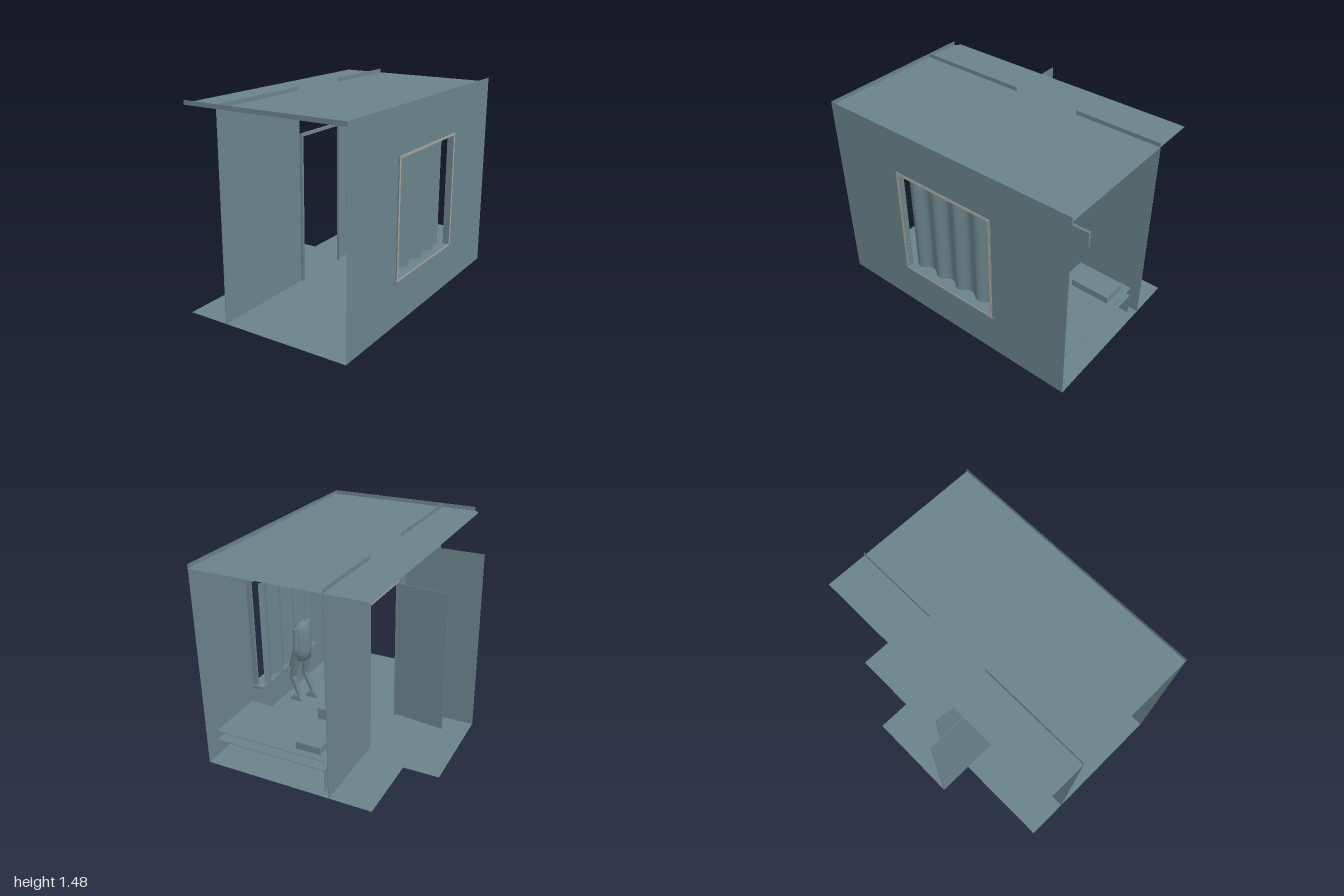
import * as THREE from 'three';

export function createModel() {
  const model = new THREE.Group();
  const material = (name, color) => {
    const m = new THREE.MeshStandardMaterial({ color, side: THREE.DoubleSide });
    m.name = name;
    return m;
  };
  const slate = material('slate', 0x6b828a);
  const beige = material('beige', 0xa8a298);
  const skin = material('skin', 0xb59a7c);

  const add = (name, geometry, mat = slate, parent = model) => {
    const mesh = new THREE.Mesh(geometry, mat);
    mesh.name = name;
    parent.add(mesh);
    return mesh;
  };
  // box given by its limits on each axis
  const box = (name, [x0, x1], [y0, y1], [z0, z1], mat, parent) => {
    const g = new THREE.BoxGeometry(x1 - x0, y1 - y0, z1 - z0);
    g.translate((x0 + x1) / 2, (y0 + y1) / 2, (z0 + z1) / 2);
    return add(name, g, mat, parent);
  };
  const polygon = (points) => new THREE.Shape(points.map(([x, y]) => new THREE.Vector2(x, y)));
  // flat horizontal sheet from x, z corners
  const sheet = (name, points, y) => {
    const g = new THREE.ShapeGeometry(polygon(points.map(([x, z]) => [x, -z])));
    g.rotateX(-Math.PI / 2);
    g.translate(0, y, 0);
    return add(name, g);
  };

  // floor with the hallway landing, and the ceiling with a clipped corner
  sheet('floor', [[-0.505, 1], [0.755, 1], [0.755, -1], [-0.505, -1],
    [-0.505, -0.48], [-0.77, -0.48], [-0.77, 0.26], [-0.505, 0.26]], 0);
  sheet('ceiling', [[-0.465, 1], [0.755, 1], [0.755, -1], [-0.505, -1], [-0.505, 0.96]], 1.45);
  box('frontFascia', [-0.465, 0.755], [1.45, 1.48], [0.997, 1]);

  // window wall
  const wall = polygon([[-1, 0], [1, 0], [1, 1.48], [-1, 1.48]]);
  wall.holes.push(polygon([[-0.4, 0.32], [-0.4, 1.155], [0.4, 1.155], [0.4, 0.32]]));
  const wallGeometry = new THREE.ShapeGeometry(wall);
  wallGeometry.rotateY(Math.PI / 2);
  wallGeometry.translate(0.755, 0, 0);
  add('windowWall', wallGeometry);

  // door wall in two halves, and the hallway wall
  box('doorWallFront', [-0.194, -0.19], [0, 1.48], [0.15, 1]);
  box('doorWallBack', [-0.194, -0.19], [0, 1.48], [-1, -0.36]);
  box('hallwayWall', [-0.77, -0.19], [0, 1.37], [0.257, 0.261]);

  // door frame and open door
  const doorway = new THREE.Group();
  doorway.name = 'doorway';
  model.add(doorway);
  box('doorJambFront', [-0.19, -0.17], [0, 1.138], [0.13, 0.15], slate, doorway);
  box('doorJambBack', [-0.19, -0.17], [0, 1.138], [-0.36, -0.34], slate, doorway);
  box('doorHeader', [-0.19, -0.17], [1.118, 1.138], [-0.34, 0.13], slate, doorway);
  box('doorHeaderTrim', [-0.194, -0.19], [1.118, 1.138], [-0.34, 0.13], beige, doorway);
  const door = box('doorLeaf', [-0.4, 0], [0.01, 1.11], [-0.003, 0.003], slate, doorway);
  door.position.set(-0.19, 0, 0.13);
  door.rotation.y = -0.12;

  // window frame with pale outer trim
  const frame = new THREE.Group();
  frame.name = 'windowFrame';
  model.add(frame);
  for (const s of [-1, 1]) {
    const z = s > 0 ? [0.39, 0.406] : [-0.406, -0.39];
    box('windowJamb', [0.715, 0.763], [0.32, 1.162], z, slate, frame);
    box('jambTrim', [0.763, 0.766], [0.318, 1.162], z, beige, frame);
  }
  box('windowHead', [0.715, 0.763], [1.146, 1.162], [-0.39, 0.39], slate, frame);
  box('headTrim', [0.763, 0.766], [1.146, 1.162], [-0.39, 0.39], beige, frame);
  box('windowSill', [0.66, 0.763], [0.3, 0.325], [-0.42, 0.42], slate, frame);
  box('sillTrim', [0.763, 0.766], [0.316, 0.328], [-0.39, 0.39], beige, frame);

  // wavy curtain
  const curtain = new THREE.PlaneGeometry(0.735, 0.81, 64, 1);
  curtain.rotateY(Math.PI / 2);
  curtain.translate(0, 0.73, 0.0025);
  const p = curtain.attributes.position;
  for (let i = 0; i < p.count; i++) {
    p.setX(i, 0.683 + 0.022 * Math.sin((2 * Math.PI * (p.getZ(i) - 0.28)) / 0.185));
  }
  curtain.computeVertexNormals();
  add('curtain', curtain);

  // bed made of open panels, with pillow and headboard
  const bed = new THREE.Group();
  bed.name = 'bed';
  model.add(bed);
  box('mattressTop', [-0.14, 0.705], [0.241, 0.245], [-0.95, -0.51], slate, bed);
  box('bedBase', [-0.14, 0.705], [0.168, 0.172], [-0.95, -0.51], slate, bed);
  box('mattressFront', [-0.14, 0.705], [0.172, 0.245], [-0.514, -0.51], slate, bed);
  box('bedFront', [-0.14, 0.705], [0, 0.172], [-0.514, -0.51], slate, bed);
  box('bedEnd', [-0.14, -0.136], [0, 0.172], [-0.95, -0.51], slate, bed);
  box('pillow', [-0.085, 0.1], [0.245, 0.298], [-0.9, -0.6], slate, bed);
  box('nightstand', [-0.03, 0.175], [0, 0.293], [-0.46, -0.24]);
  box('backPanel', [-0.11, -0.085], [0.475, 0.61], [-0.6, -0.36]);

  // headless figure leaning toward the window
  const figure = new THREE.Group();
  figure.name = 'figure';
  figure.position.set(0, 0, 0.06);
  model.add(figure);
  const limb = (name, a, b, r0, r1, mat = slate) => {
    const from = new THREE.Vector3(...a), to = new THREE.Vector3(...b);
    const dir = to.clone().sub(from);
    const mesh = add(name, new THREE.CylinderGeometry(r1, r0, dir.length(), 8), mat, figure);
    mesh.position.copy(from).addScaledVector(dir, 0.5);
    mesh.quaternion.setFromUnitVectors(new THREE.Vector3(0, 1, 0), dir.normalize());
  };
  const torso = new THREE.LatheGeometry([[0, 0.37], [0.053, 0.37], [0.062, 0.44], [0.066, 0.55],
    [0.058, 0.64], [0.045, 0.67], [0.025, 0.672], [0.02, 0.682], [0, 0.682]]
    .map(([r, y]) => new THREE.Vector2(r, y)), 12);
  torso.scale(1, 1, 1.4);
  torso.translate(0.588, 0, 0);
  add('torso', torso, slate, figure);
  for (const s of [-1, 1]) {
    const step = s > 0 ? 0 : 0.07; // the far leg stands further forward
    limb('upperArm', [0.59, 0.655, s * 0.09], [0.588, 0.48, s * 0.11], 0.026, 0.021);
    limb('forearm', [0.588, 0.49, s * 0.11], [0.655, 0.315, s * 0.09], 0.021, 0.014);
    limb('hand', [0.655, 0.315, s * 0.09], [0.668, 0.285, s * 0.09], 0.012, 0.009, skin);
    limb('thigh', [0.58 + step * 0.4, 0.4, s * 0.045], [0.61 + step * 0.8, 0.21, s * 0.05], 0.034, 0.025);
    limb('shin', [0.61 + step * 0.8, 0.22, s * 0.05], [0.535 + step, 0.035, s * 0.05], 0.026, 0.018);
    const shoe = new THREE.ExtrudeGeometry(
      polygon([[0.49, 0], [0.6, 0], [0.59, 0.018], [0.555, 0.045], [0.515, 0.045]]),
      { depth: 0.045, bevelEnabled: false });
    shoe.translate(step * 1.25, 0, s * 0.05 - 0.0225);
    add('shoe', shoe, slate, figure);
  }

  return model;
}
